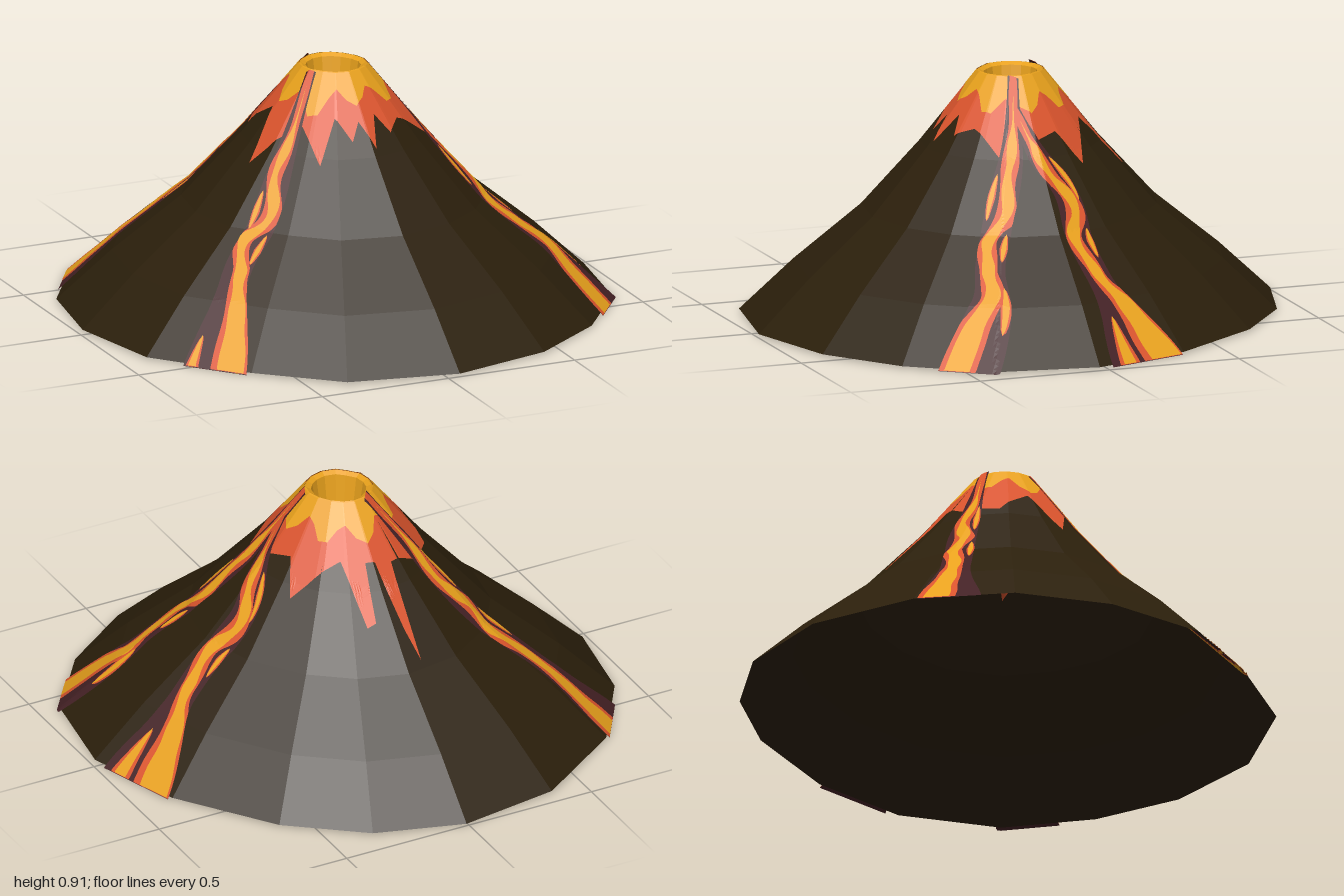
import * as THREE from 'three';

// Base outline (x, z) and slope profile (share of the outline, height)
const BASE = [[0.01, -1], [0.34, -0.9], [0.61, -0.69], [0.86, -0.34], [0.98, 0.03], [0.92, 0.41], [0.71, 0.69], [0.43, 0.89],
  [0.05, 0.99], [-0.36, 0.91], [-0.63, 0.67], [-0.9, 0.35], [-0.98, -0.03], [-0.92, -0.39], [-0.72, -0.7], [-0.37, -0.94]];
const PROFILE = [[0.125, 0.895], [0.335, 0.635], [0.55, 0.4], [0.8, 0.195], [1, 0.008]];
const RIM = 0.125;
const { smoothstep, clamp, lerp } = THREE.MathUtils;

const mat = (name, color) => new THREE.MeshStandardMaterial({ name, color, side: THREE.DoubleSide });

// Share of the base outline reached by a point (1 = on the outline)
function gauge(x, z) {
  for (let i = 0; i < BASE.length; i++) {
    const [px, pz] = BASE[i], [qx, qz] = BASE[(i + 1) % BASE.length];
    const det = px * qz - pz * qx;
    const a = (x * qz - z * qx) / det, b = (px * z - pz * x) / det;
    if (a >= -1e-9 && b >= -1e-9) return a + b;
  }
  return 0;
}

// Height of the slope at a point
function height(x, z) {
  const m = gauge(x, z);
  let i = 0;
  while (i < PROFILE.length - 2 && m > PROFILE[i + 1][0]) i++;
  const [m0, y0] = PROFILE[i], [m1, y1] = PROFILE[i + 1];
  return y0 + (y1 - y0) * (m - m0) / (m1 - m0);
}

// Flat-shaded grid surface from fn(u, v) -> [x, y, z]
function grid(name, material, nu, nv, fn) {
  const pos = [], index = [];
  for (let i = 0; i <= nu; i++) {
    for (let j = 0; j <= nv; j++) {
      pos.push(...fn(i / nu, j / nv));
      if (i < nu && j < nv) {
        const a = i * (nv + 1) + j, b = a + nv + 1;
        index.push(a, b, a + 1, b, b + 1, a + 1);
      }
    }
  }
  const indexed = new THREE.BufferGeometry();
  indexed.setAttribute('position', new THREE.Float32BufferAttribute(pos, 3));
  indexed.setIndex(index);
  const geo = indexed.toNonIndexed();
  geo.computeVertexNormals();
  const mesh = new THREE.Mesh(geo, material);
  mesh.name = name;
  return mesh;
}

// Stacked rings that follow the base outline
function rings(name, material, profile) {
  const n = BASE.length, k = profile.length - 1;
  return grid(name, material, n, k, (u, v) => {
    const [x, z] = BASE[Math.round(u * n) % n], [m, y] = profile[Math.round(v * k)];
    return [x * m, y, z * m];
  });
}

// Star-shaped splash around the crater, laid on the slope
function splash(name, material, outline, lift) {
  const n = outline.length;
  return grid(name, material, n * 6, 12, (u, v) => {
    const t = (u * n) % n, i = Math.floor(t), f = t - i;
    const p = outline[i], q = outline[(i + 1) % n];
    const x = lerp(p[0], q[0], f), z = lerp(p[1], q[1], f);
    const s0 = RIM / gauge(x, z), s = s0 + (1 - s0) * v;
    return [x * s, height(x * s, z * s) + lift, z * s];
  });
}

const ORANGE_SPLASH = [[-0.06, -0.52], [-0.035, -0.44], [-0.005, -0.27], [0.03, -0.26], [0.06, -0.4], [0.095, -0.4], [0.11, -0.22],
  [0.29, -0.17], [0.24, -0.08], [0.28, 0], [0.22, 0.06], [0.33, 0.14], [0.16, 0.2], [0.11, 0.26], [0.06, 0.22], [0.03, 0.31],
  [-0.01, 0.24], [-0.05, 0.28], [-0.09, 0.21], [-0.18, 0.28], [-0.19, 0.15], [-0.36, 0.06], [-0.23, -0.02], [-0.27, -0.15],
  [-0.2, -0.24], [-0.07, -0.27]];
const YELLOW_SPLASH = Array.from({ length: 36 }, (_, i) => {
  const a = i * Math.PI / 18, r = 0.19 + 0.025 * Math.cos(a * 8) + 0.01 * Math.sin(a * 3);
  return [r * Math.cos(a), r * Math.sin(a)];
});

// Lava stream: path (x, z), width gained at the foot, sideways bends of the bright band (-1 to 1),
// and flecks beside it (place along the stream, sideways place)
function stream(name, mats, { path, foot, bends, flecks, sides }) {
  const group = new THREE.Group();
  group.name = name;
  const curve = new THREE.CatmullRomCurve3(path.map(([x, z]) => new THREE.Vector3(x, 0, z)));

  const ribbon = (part, material, lift, centre, half, from = 0, to = 1) =>
    group.add(grid(part, material, Math.ceil((to - from) * 80), 16, (t, v) => {
      const u = lerp(from, to, t), p = curve.getPoint(u), d = curve.getTangent(u);
      const width = 0.02 + 0.035 * smoothstep(u, 0, 0.35) + foot * smoothstep(u, 0.65, 1);
      const edge = k => clamp(centre(u) + k * half(u), -1, 1);
      const w = width * lerp(edge(-1), edge(1), v);
      let x = p.x + d.z * w, z = p.z - d.x * w;
      const over = Math.max(1, gauge(x, z) / 1.012);
      x /= over;
      z /= over;
      return [x, Math.max(0, height(x, z) + lift), z];
    }));

  const bend = u => {
    const t = u * (bends.length - 1), i = Math.min(Math.floor(t), bends.length - 2);
    return lerp(bends[i], bends[i + 1], smoothstep(t - i, 0, 1));
  };
  const orangeHalf = u => 0.62 + 0.12 * Math.sin(u * 37) * (1 - u);
  const brightHalf = u => smoothstep(u, 0.03, 0.18) * (0.32 + 0.1 * u + 0.16 * Math.sin(u * 43) * (1 - u));

  for (const side of sides) {
    ribbon('crust', mats.crust, side * 0.0045, () => 0, () => 1);
    ribbon('orangeBand', mats.orange, side * 0.0065, bend, orangeHalf);
    ribbon('brightBand', mats.yellow, side * 0.0085, bend, brightHalf);
    for (const [u0, place] of flecks) {
      const reach = u0 > 0.9 ? 0.16 : 0.07, to = Math.min(1, u0 + reach);
      const taper = u => 0.28 * Math.sqrt(Math.max(0, 1 - Math.abs(u - u0) / reach));
      ribbon('orangeFleck', mats.orange, side * 0.0065, () => place, taper, u0 - reach, to);
      ribbon('brightFleck', mats.yellow, side * 0.0085, () => place, u => 0.6 * taper(u), u0 - reach, to);
    }
  }
  return group;
}

export function createModel() {
  const rock = mat('rock', 0x2b1f0b), yellow = mat('brightLava', 0xe8a11c);
  const orange = mat('orangeLava', 0xd9532c), crust = mat('lavaCrust', 0x432024);
  const mats = { yellow, orange, crust };
  const model = new THREE.Group();
  model.name = 'volcano';

  // Hollow mountain
  model.add(rings('mountain', rock, PROFILE));

  // Crater lip, wall and floor pools
  const crater = new THREE.Group();
  crater.name = 'crater';
  crater.add(rings('craterWall', yellow, [[RIM, 0.895], [0.118, 0.9], [0.1, 0.89], [0.085, 0.79], [0, 0.79]]));
  const pool = (material, r, y, squash, z) => {
    const mesh = new THREE.Mesh(new THREE.CircleGeometry(r, 9), material);
    mesh.name = 'craterPool';
    mesh.rotation.x = -Math.PI / 2;
    mesh.scale.y = squash;
    mesh.position.set(0, y, z);
    crater.add(mesh);
  };
  pool(orange, 0.07, 0.793, 0.5, -0.035);
  pool(crust, 0.04, 0.796, 0.3, -0.035);
  pool(orange, 0.05, 0.793, 0.3, 0.045);
  model.add(crater);

  // Splashes around the rim, on both faces of the shell
  model.add(splash('orangeSplash', orange, ORANGE_SPLASH, 0.002));
  model.add(splash('yellowSplash', yellow, YELLOW_SPLASH, 0.0035));
  model.add(splash('innerOrangeSplash', orange, ORANGE_SPLASH, -0.003));

  // Four streams; the first also shows on the inside of the shell
  model.add(stream('frontRightStream', mats, {
    path: [[-0.11, 0.05], [-0.27, 0.17], [-0.4, 0.27], [-0.53, 0.34], [-0.64, 0.46], [-0.77, 0.61]], foot: 0.075, sides: [1, -1],
    bends: [0, 0.1, -0.3, 0.4, -0.6, 0.3, 0.5, 0.5, 0.5], flecks: [[0.38, -0.75], [0.51, 0.7], [1, -0.72]],
  }));
  model.add(stream('frontLeftStream', mats, {
    path: [[0.12, 0.035], [0.3, 0.11], [0.45, 0.22], [0.58, 0.3], [0.71, 0.35], [0.9, 0.52]], foot: 0.06, sides: [1],
    bends: [0, 0, 0, 0.5, -0.4, -0.1, 0.1, -0.4, -0.4], flecks: [[0.34, -0.75], [0.52, 0.75], [0.8, 0.75]],
  }));
  model.add(stream('leftStream', mats, {
    path: [[0.2, 0.06], [0.31, 0.02], [0.42, -0.06], [0.55, -0.06], [0.69, -0.09], [0.82, -0.14], [0.96, -0.19]], foot: 0.11, sides: [1],
    bends: [0, 0, -0.3, 0.2, -0.4, 0, 0.5, 0.5, 0.55], flecks: [[0.28, 0.75], [0.5, 0.75], [0.95, -0.5]],
  }));
  model.add(stream('backRightStream', mats, {
    path: [[-0.05, -0.11], [-0.19, -0.22], [-0.32, -0.32], [-0.42, -0.38], [-0.58, -0.47], [-0.71, -0.55], [-0.84, -0.62]], foot: 0.065,
    sides: [1], bends: [0, 0.2, -0.3, 0.2, -0.4, -0.1, -0.2, -0.35, -0.45], flecks: [[0.25, 0.75], [0.5, 0.75]],
  }));
  return model;
}
